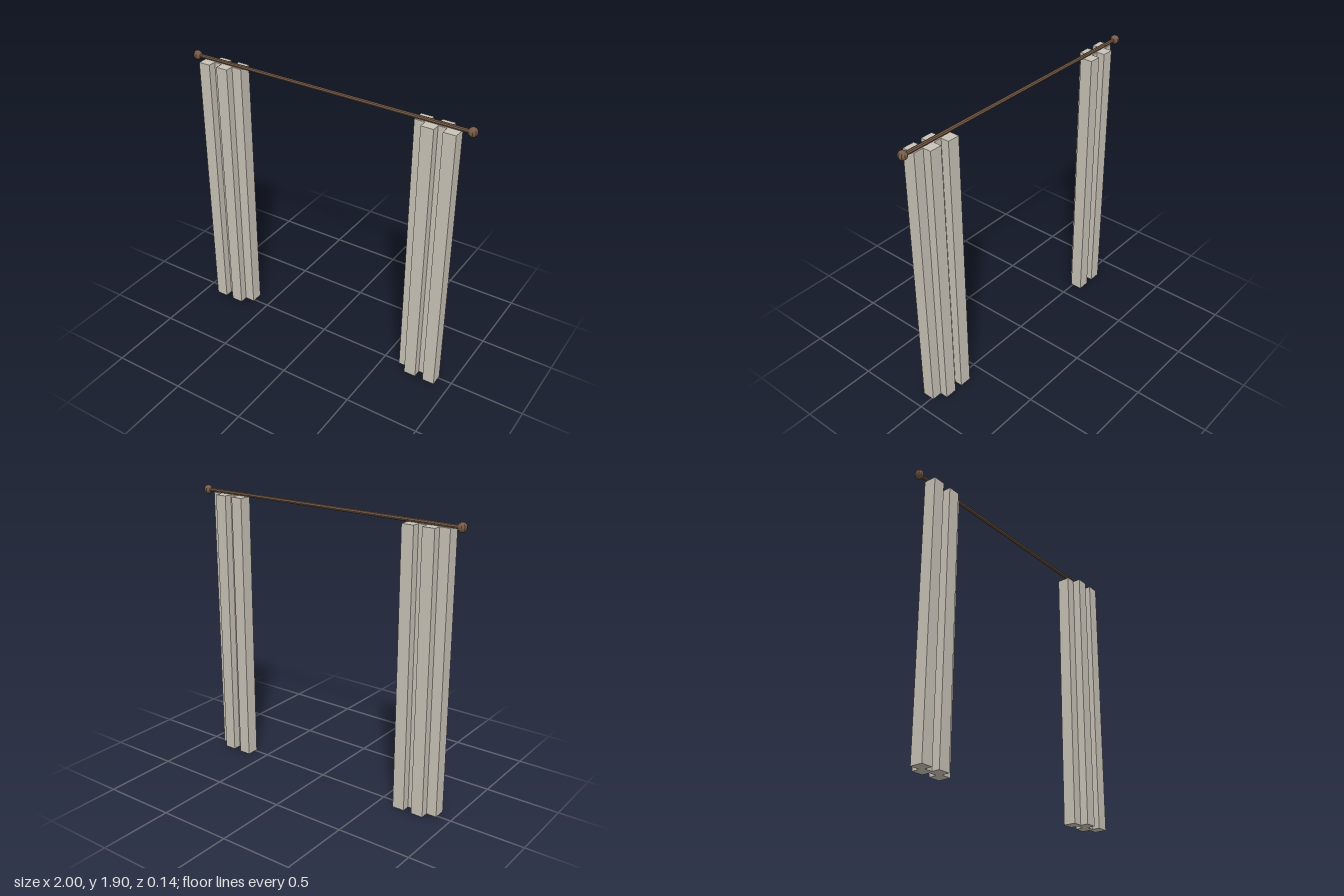
import * as THREE from 'three';

export function createModel() {
  const model = new THREE.Group();
  const fabric = new THREE.MeshStandardMaterial({ color: 0xc9c3b7, flatShading: true });
  fabric.name = 'warm grey fabric';
  const wood = new THREE.MeshStandardMaterial({ color: 0x775c48, flatShading: true });
  wood.name = 'brown wood';

  const rodY = 1.867;
  const curtainTop = 1.855;

  // Horizontal rod
  const rod = new THREE.Mesh(new THREE.CylinderGeometry(0.013, 0.013, 1.9, 8), wood);
  rod.name = 'rod';
  rod.rotation.z = Math.PI / 2;
  rod.position.y = rodY;
  model.add(rod);

  const pleatGeometry = new THREE.BoxGeometry(0.082, curtainTop, 0.085);
  const finialGeometry = new THREE.SphereGeometry(0.03, 10, 8);

  for (const side of [-1, 1]) {
    const label = side > 0 ? 'left' : 'right';

    // Ball on the end of the rod
    const finial = new THREE.Mesh(finialGeometry, wood);
    finial.name = label + 'Finial';
    finial.position.set(side * 0.97, rodY, 0);
    model.add(finial);

    // Curtain of four box pleats, alternating forward and back from the outer edge
    const curtain = new THREE.Group();
    curtain.name = label + 'Curtain';
    for (let i = 0; i < 4; i++) {
      const pleat = new THREE.Mesh(pleatGeometry, fabric);
      pleat.name = 'pleat' + (i + 1);
      pleat.position.set(side * (0.862 - i * 0.069), curtainTop / 2, i % 2 ? -0.0275 : 0.0275);
      curtain.add(pleat);
    }
    model.add(curtain);
  }
  return model;
}
